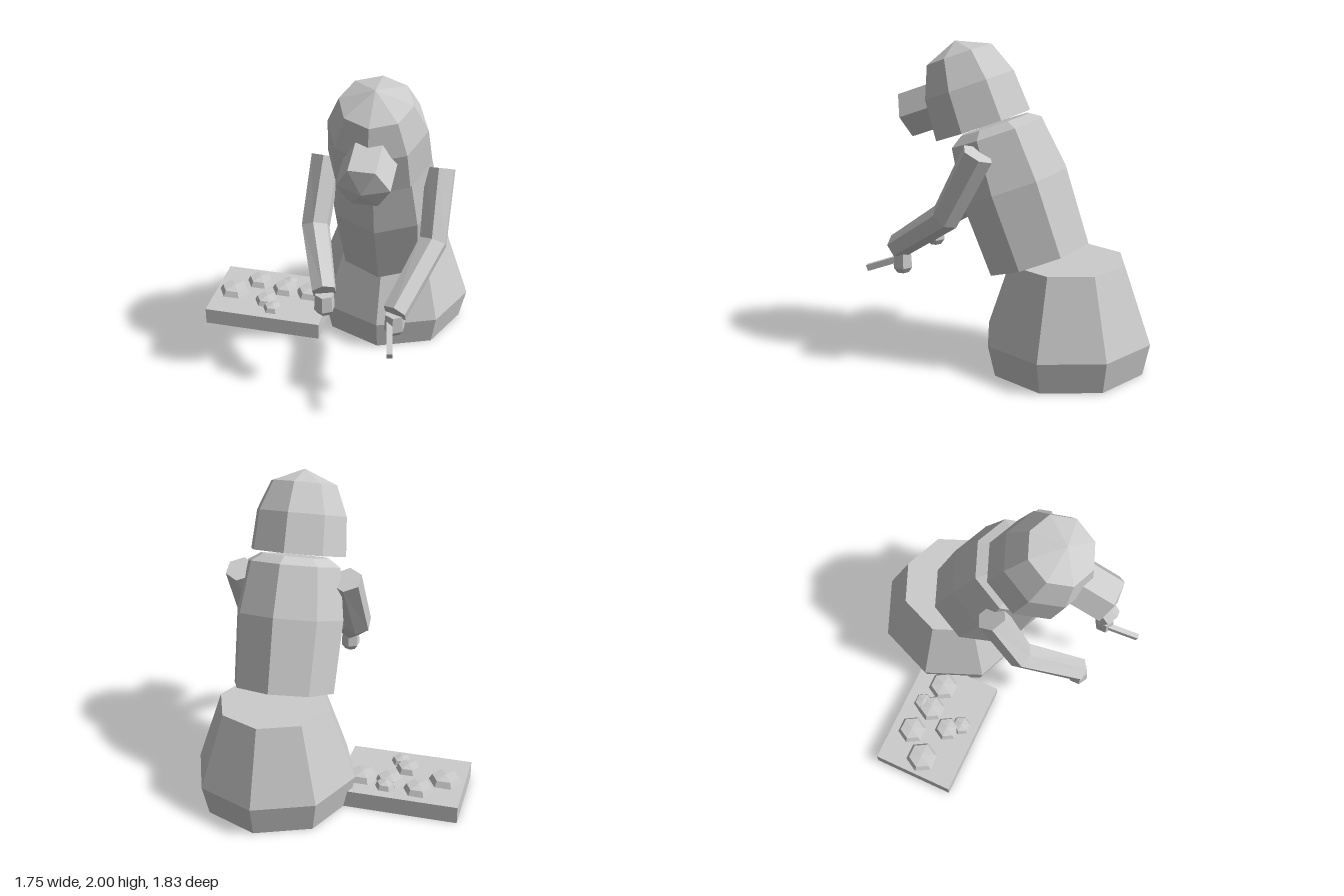
import * as THREE from 'three';

const CX = 0.335; // the figure's own centre line
const TILT = THREE.MathUtils.degToRad(20);

export function createModel() {
  const model = new THREE.Group();
  const clay = new THREE.MeshStandardMaterial({ color: 0xcccccc });
  clay.name = 'clay grey';

  function add(name, geometry, parent = model) {
    const flat = geometry.index ? geometry.toNonIndexed() : geometry;
    flat.computeVertexNormals(); // faceted normals
    const mesh = new THREE.Mesh(flat, clay);
    mesh.name = name;
    parent.add(mesh);
    return mesh;
  }

  // Closed faceted solid from [radius, height] pairs, bottom to top
  function turned(name, profile, sides, parent, start = 0) {
    const points = profile.map(([r, y]) => new THREE.Vector2(r, y));
    return add(name, new THREE.LatheGeometry(points, sides, start), parent);
  }

  // Six-sided limb through [x, y, z, radius] stations
  function limb(name, stations, parent) {
    const sides = 6;
    const centres = stations.map(([x, y, z]) => new THREE.Vector3(x, y, z));
    const last = centres.length - 1;
    const positions = [];
    const indices = [];
    centres.forEach((c, i) => {
      const t = new THREE.Vector3();
      if (i > 0) t.add(c.clone().sub(centres[i - 1]).normalize());
      if (i < last) t.add(centres[i + 1].clone().sub(c).normalize());
      t.normalize();
      const u = new THREE.Vector3(1, 0, 0).addScaledVector(t, -t.x).normalize();
      const v = t.clone().cross(u);
      for (let j = 0; j < sides; j++) {
        const a = ((j + 0.5) / sides) * Math.PI * 2;
        const p = c.clone()
          .addScaledVector(u, Math.cos(a) * stations[i][3])
          .addScaledVector(v, Math.sin(a) * stations[i][3]);
        positions.push(p.x, p.y, p.z);
      }
    });
    for (let i = 0; i < last; i++) {
      for (let j = 0; j < sides; j++) {
        const k = (j + 1) % sides;
        const a = i * sides + j, b = i * sides + k;
        indices.push(a, b, a + sides, b, b + sides, a + sides);
      }
    }
    // end caps
    for (let j = 1; j < sides - 1; j++) {
      indices.push(0, j + 1, j);
      indices.push(last * sides, last * sides + j, last * sides + j + 1);
    }
    const g = new THREE.BufferGeometry();
    g.setAttribute('position', new THREE.Float32BufferAttribute(positions, 3));
    g.setIndex(indices);
    return add(name, g, parent);
  }

  // Wide base under the figure
  turned('base', [[0, 0], [0.49, 0], [0.535, 0.2], [0.365, 0.685], [0, 0.685]], 8)
    .position.set(CX, 0, -0.378);

  // Torso leaning forward
  const torso = turned('torso',
    [[0, 0], [0.34, 0], [0.36, 0.48], [0.31, 0.815], [0.23, 0.865], [0, 0.865]], 8);
  torso.position.set(CX, 0.685, -0.19);
  torso.rotation.x = TILT;

  // Head
  const head = turned('head',
    [[0, 0], [0.323, 0], [0.304, 0.257], [0.222, 0.452], [0, 0.542]], 8);
  head.position.set(CX, 1.49, 0.18);
  head.rotation.x = TILT;

  // Six-sided muzzle with a shallow pointed end
  const muzzle = turned('muzzle',
    [[0, 0], [0.16, 0], [0.16, 0.222], [0, 0.275]], 6, model, Math.PI / 6);
  muzzle.position.set(CX, 1.605, 0.47);
  muzzle.rotation.x = Math.PI / 2 + TILT;

  // Arms and hands
  const leftArm = new THREE.Group();
  leftArm.name = 'leftArm';
  const rightArm = new THREE.Group();
  rightArm.name = 'rightArm';
  model.add(leftArm, rightArm);
  limb('leftSleeve',
    [[0.695, 1.385, 0.06, 0.1], [0.7, 0.985, 0.275, 0.093], [0.545, 0.71, 0.69, 0.08]], leftArm);
  limb('rightSleeve',
    [[-0.025, 1.385, 0.06, 0.1], [-0.045, 0.995, 0.275, 0.093], [0.1, 0.765, 0.65, 0.08]], rightArm);

  const handProfile = [[0, -0.07], [0.04, -0.07], [0.066, -0.035], [0.06, 0.07], [0, 0.07]];
  turned('leftHand', handProfile, 6, leftArm).position.set(0.54, 0.615, 0.66);
  turned('rightHand', handProfile, 6, rightArm).position.set(0.1, 0.68, 0.645);

  // Thin stick held in the left hand
  const from = new THREE.Vector3(0.51, 0.635, 0.66);
  const to = new THREE.Vector3(0.558, 0.548, 0.905);
  const stick = add('stick', new THREE.BoxGeometry(0.035, 0.04, from.distanceTo(to)), leftArm);
  stick.position.copy(from).lerp(to, 0.5);
  stick.lookAt(to);

  // Flat slab beside the figure
  add('slab', new THREE.BoxGeometry(0.81, 0.115, 0.56)).position.set(-0.475, 0.0575, -0.15);

  // Hexagonal lumps on the slab: x, z, radius
  const lumps = [
    [-0.75, -0.14, 0.11], [-0.6, -0.29, 0.1], [-0.4, -0.235, 0.098], [-0.385, -0.305, 0.07],
    [-0.215, -0.23, 0.105], [-0.49, -0.068, 0.088], [-0.425, 0.015, 0.07],
  ];
  lumps.forEach(([x, z, r], i) => {
    const rim = 0.02 + r * 0.17;
    turned('lump' + (i + 1), [[0, 0], [r, 0], [r * 0.8, rim], [0, rim + 0.012]], 6, model, Math.PI / 6)
      .position.set(x, 0.115, z);
  });

  return model;
}
